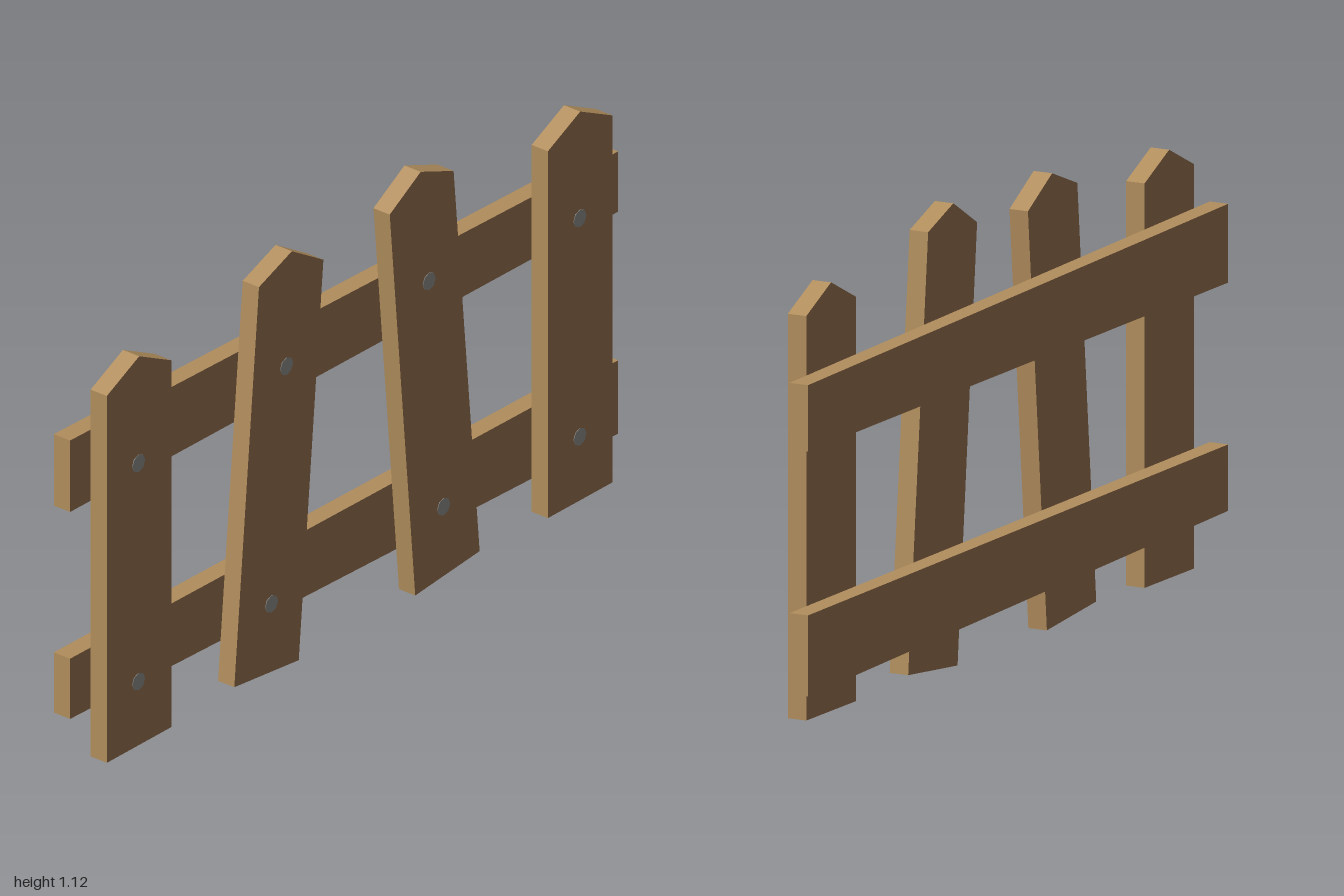
import * as THREE from 'three';

export function createModel() {
  const model = new THREE.Group();
  model.name = 'fence';

  const material = (name, color) => {
    const m = new THREE.MeshStandardMaterial({ color });
    m.name = name;
    return m;
  };
  const face = material('brown wood face', 0x8a6747);
  const edge = material('tan wood edge', 0xb08d5c);
  const steel = material('grey steel', 0x80807c);

  // Board cut from a [z, y] outline, running from x to x + 0.05
  function board(name, outline, x) {
    const shape = new THREE.Shape(outline.map(([z, y]) => new THREE.Vector2(-z, y)));
    const geometry = new THREE.ExtrudeGeometry(shape, { depth: 0.05, bevelEnabled: false });
    geometry.rotateY(Math.PI / 2);
    const mesh = new THREE.Mesh(geometry, [face, edge]);
    mesh.name = name;
    mesh.position.x = x;
    model.add(mesh);
  }

  // Two slightly crooked, tapering rails behind the pickets
  board('upperRail', [[1, 0.69], [-1, 0.68], [-1, 0.84], [1, 0.88]], -0.05);
  board('lowerRail', [[1, 0.14], [-1, 0.09], [-1, 0.285], [1, 0.3]], -0.05);

  // Pointed pickets: two upright at the ends, two leaning in the middle
  const pickets = [
    [[0.925, 0.01], [0.69, 0.01], [0.69, 0.985], [0.807, 1.043], [0.925, 0.985]],
    [[0.46, 0.023], [0.225, 0], [0.135, 1.028], [0.25, 1.097], [0.37, 1.05]],
    [[-0.2, 0], [-0.435, 0.023], [-0.34, 1.072], [-0.22, 1.118], [-0.107, 1.05]],
    [[-0.684, 0.01], [-0.92, 0.01], [-0.92, 0.985], [-0.802, 1.043], [-0.684, 0.985]],
  ];
  pickets.forEach((outline, i) => board(`picket${i + 1}`, outline, 0));

  // Flat screw heads where pickets meet rails
  const headGeometry = new THREE.CylinderGeometry(0.023, 0.023, 0.003, 8);
  headGeometry.rotateZ(-Math.PI / 2);
  const heads = [
    [0.81, 0.76], [0.81, 0.18], [0.27, 0.8], [0.325, 0.19],
    [-0.25, 0.815], [-0.303, 0.195], [-0.8, 0.76], [-0.8, 0.18],
  ];
  heads.forEach(([z, y], i) => {
    const head = new THREE.Mesh(headGeometry, steel);
    head.name = `screwHead${i + 1}`;
    head.position.set(0.05, y, z);
    model.add(head);
  });

  return model;
}
